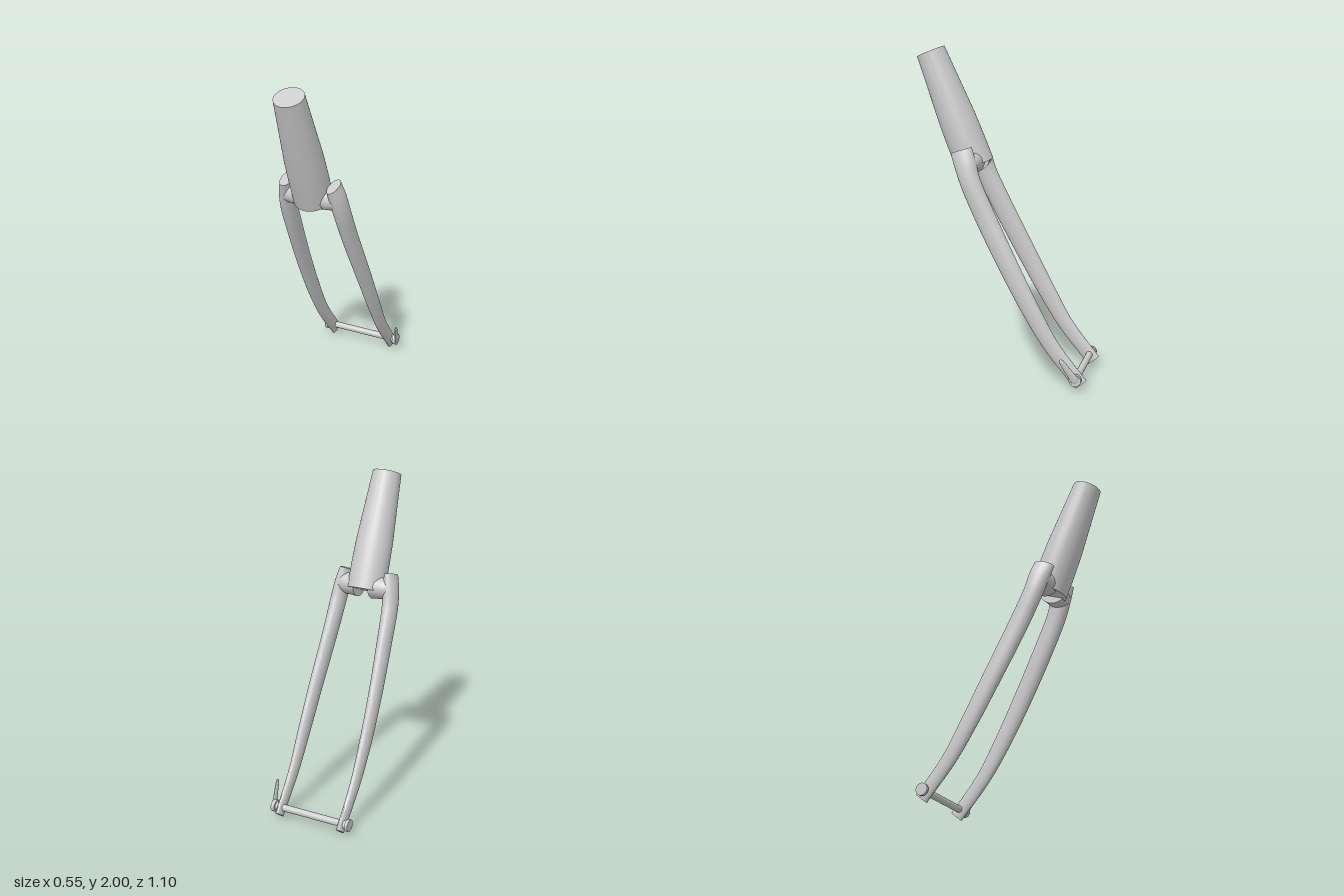
import * as THREE from 'three';
import { toCreasedNormals } from 'three/addons/utils/BufferGeometryUtils.js';

const V = (x, y, z) => new THREE.Vector3(x, y, z);
const RAKE = 0.384; // lean of the steerer, radians
const AXLE_Y = 0.07, AXLE_Z = -0.487;

// Sweep an ellipse along stations [x, y, z, halfU, halfV]; U stays closest to ref.
function sweep(stations, ref, steps = 48, sides = 32) {
  const path = new THREE.CatmullRomCurve3(stations.map(s => V(s[0], s[1], s[2])));
  const size = new THREE.CatmullRomCurve3(stations.map(s => V(s[3], s[4], 0)));
  const pos = [], index = [];
  for (let i = 0; i <= steps; i++) {
    const t = i / steps, c = path.getPoint(t), r = size.getPoint(t), tan = path.getTangent(t);
    const u = ref.clone().addScaledVector(tan, -ref.dot(tan)).normalize();
    const v = tan.clone().cross(u);
    for (let j = 0; j < sides; j++) {
      const a = j / sides * Math.PI * 2;
      const p = c.clone().addScaledVector(u, Math.cos(a) * r.x).addScaledVector(v, Math.sin(a) * r.y);
      pos.push(p.x, p.y, p.z);
      if (i < steps) {
        const k = i * sides + j, n = i * sides + (j + 1) % sides;
        index.push(k, n, k + sides, n, n + sides, k + sides);
      }
    }
  }
  // flat end caps
  const first = path.getPoint(0), last = path.getPoint(1), m = pos.length / 3;
  pos.push(first.x, first.y, first.z, last.x, last.y, last.z);
  for (let j = 0; j < sides; j++) {
    const n = (j + 1) % sides, e = steps * sides;
    index.push(m, n, j, m + 1, e + j, e + n);
  }
  const g = new THREE.BufferGeometry();
  g.setAttribute('position', new THREE.Float32BufferAttribute(pos, 3));
  g.setIndex(index);
  return toCreasedNormals(g, 0.8);
}

export function createModel() {
  const fork = new THREE.Group();
  fork.name = 'bicycleFork';
  const mat = new THREE.MeshStandardMaterial({ color: 0xcccccc });
  const add = (name, geometry) => {
    const mesh = new THREE.Mesh(geometry, mat);
    mesh.name = name;
    fork.add(mesh);
    return mesh;
  };

  // tapered steerer tube, leaning forward
  const profile = [[0, 0], [0.116, 0], [0.116, 0.15], [0.113, 0.3], [0.1, 0.52], [0.088, 0.73], [0, 0.73]];
  const steerer = add('steerer', toCreasedNormals(
    new THREE.LatheGeometry(profile.map(p => new THREE.Vector2(...p)), 64), 0.8));
  steerer.position.set(0, 1.29, 0.197);
  steerer.rotation.x = RAKE;

  for (const s of [1, -1]) {
    const side = s > 0 ? 'left' : 'right';
    // curved blade: x, y, z, half width, half depth
    const blade = [
      [0.151, 1.4, 0.238, 0.035, 0.068],
      [0.166, 1.31, 0.207, 0.045, 0.067],
      [0.177, 1.215, 0.175, 0.046, 0.063],
      [0.188, 1.01, 0.08, 0.041, 0.064],
      [0.204, 0.717, -0.07, 0.036, 0.061],
      [0.211, 0.45, -0.214, 0.031, 0.055],
      [0.211, 0.25, -0.335, 0.025, 0.048],
      [0.209, 0.03, -0.513, 0.018, 0.044],
    ];
    add(side + 'Blade', sweep(blade.map(([x, ...r]) => [s * x, ...r]), V(1, 0, 0), 72));
    // crown arm joining blade and steerer
    const arm = [
      [0.05, 1.315, 0.205, 0.085, 0.072],
      [0.09, 1.315, 0.205, 0.079, 0.068],
      [0.13, 1.315, 0.206, 0.076, 0.066],
      [0.165, 1.313, 0.207, 0.066, 0.058],
      [0.192, 1.31, 0.207, 0.04, 0.035],
    ];
    add(side + 'CrownArm', sweep(arm.map(([x, ...r]) => [s * x, ...r]),
      V(0, -Math.sin(RAKE), Math.cos(RAKE)), 24));
  }

  // axle with its end nuts, each as [name, x from, x to, radius]
  const axleParts = [
    ['axle', -0.24, 0.245, 0.021],
    ['rightCollar', -0.244, -0.215, 0.026],
    ['rightNut', -0.261, -0.243, 0.037],
    ['leftCollar', 0.215, 0.242, 0.026],
    ['leverHub', 0.24, 0.264, 0.037],
  ];
  for (const [name, x0, x1, r] of axleParts) {
    const mesh = add(name, new THREE.CylinderGeometry(r, r, x1 - x0, 32));
    mesh.rotation.z = Math.PI / 2;
    mesh.position.set((x0 + x1) / 2, AXLE_Y, AXLE_Z);
  }

  // quick release lever
  add('quickReleaseLever', sweep([
    [0.257, 0.05, -0.5, 0.004, 0.014],
    [0.261, 0.07, -0.487, 0.008, 0.026],
    [0.269, 0.115, -0.458, 0.008, 0.022],
    [0.279, 0.165, -0.425, 0.008, 0.018],
    [0.284, 0.193, -0.407, 0.007, 0.014],
    [0.285, 0.202, -0.401, 0.003, 0.006],
  ], V(1, 0, 0), 30, 20));

  fork.position.x = -0.018;
  const model = new THREE.Group();
  model.name = 'forkModel';
  model.add(fork);
  return model;
}
